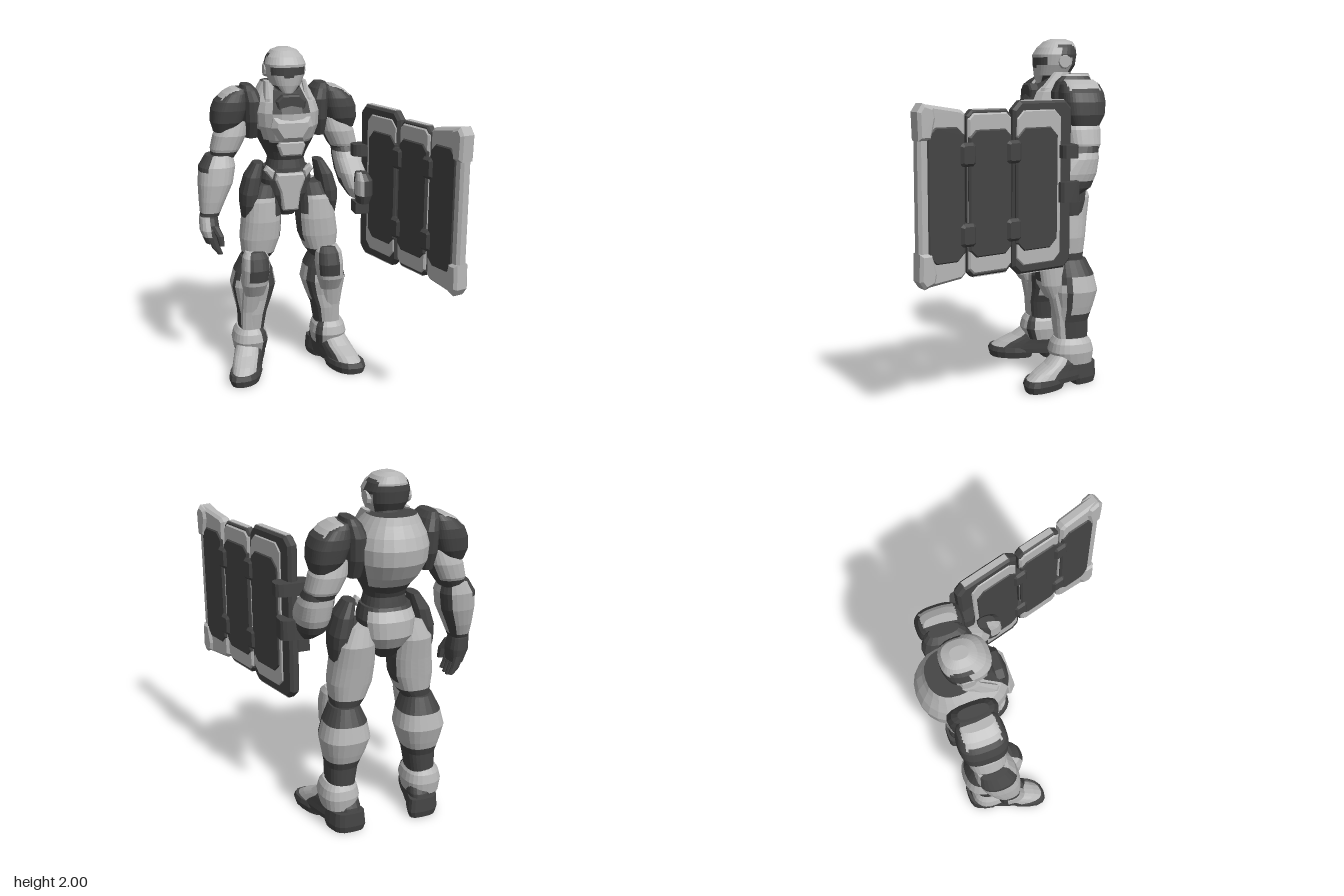
import * as THREE from 'three';

const light = new THREE.MeshStandardMaterial({ color: 0xb6b6b6 });
light.name = 'light grey armour';
const dark = new THREE.MeshStandardMaterial({ color: 0x444444 });
dark.name = 'dark grey armour';

// angle test in degrees: 0 = outer side, 90 = front, 180 = inner side, 270 = back
const near = (a, c, w) => Math.abs(((a - c + 540) % 360) - 180) < w;

function flat(geo) {
  const g = geo.index ? geo.toNonIndexed() : geo;
  g.computeVertexNormals();
  return g;
}

function add(parent, name, geo, mat) {
  const m = new THREE.Mesh(geo, mat);
  m.name = name;
  parent.add(m);
  return m;
}

// Faceted loft through sections [y, x, z, rx, rz] (rising y); pick(angle, y, x, z) gives each face its colour
function loft(parent, name, secs, pick, { s = 1, p = 0.8, n = 24, k = 4, shear = 0 } = {}) {
  const rings = [];
  for (let i = 0; i < secs.length - 1; i++)
    for (let j = 0; j < k; j++) rings.push(secs[i].map((v, c) => v + (secs[i + 1][c] - v) * j / k));
  rings.push(secs[secs.length - 1]);
  const pow = v => Math.sign(v) * Math.pow(Math.abs(v), p);
  const at = (r, j) => {
    const t = (j / n) * Math.PI * 2, z = r[4] * pow(Math.sin(t));
    return [s * (r[1] + r[3] * pow(Math.cos(t)) + shear * z), r[0], r[2] + z];
  };
  const lists = new Map([[light, []], [dark, []]]);
  const tri = (mat, a, b, c) => lists.get(mat).push(...a, ...(s > 0 ? b : c), ...(s > 0 ? c : b));
  const colour = (deg, a, b) => pick(deg, (a[1] + b[1]) / 2, s * (a[0] + b[0]) / 2, (a[2] + b[2]) / 2);
  const lo = rings[0], hi = rings[rings.length - 1];
  const loMid = [s * lo[1], lo[0], lo[2]], hiMid = [s * hi[1], hi[0], hi[2]];
  for (let j = 0; j < n; j++) {
    const deg = (j + 0.5) * 360 / n;
    for (let i = 0; i < rings.length - 1; i++) {
      const a = rings[i], b = rings[i + 1], m = colour(deg, at(a, j), at(b, j + 1));
      tri(m, at(a, j), at(b, j), at(a, j + 1));
      tri(m, at(a, j + 1), at(b, j), at(b, j + 1));
    }
    tri(colour(deg, hiMid, at(hi, j)), hiMid, at(hi, j + 1), at(hi, j));
    tri(colour(deg, loMid, at(lo, j)), loMid, at(lo, j), at(lo, j + 1));
  }
  const geo = new THREE.BufferGeometry(), pos = [], mats = [];
  for (const [mat, list] of lists) {
    if (!list.length) continue;
    geo.addGroup(pos.length / 3, list.length / 3, mats.length);
    mats.push(mat);
    for (const v of list) pos.push(v);
  }
  geo.setAttribute('position', new THREE.Float32BufferAttribute(pos, 3));
  geo.computeVertexNormals();
  if (mats.length === 1) geo.clearGroups();
  return add(parent, name, geo, mats.length === 1 ? mats[0] : mats);
}
const L = () => light, D = () => dark;

// Bevelled slab from an outline, centred on its thickness t
function slab(parent, name, mat, pts, t, bevel = 0.01) {
  const shape = new THREE.Shape(pts.map(q => new THREE.Vector2(...q)));
  const geo = new THREE.ExtrudeGeometry(shape, {
    depth: t - 2 * bevel, bevelThickness: bevel, bevelSize: bevel, bevelOffset: -bevel, bevelSegments: 1 });
  geo.translate(0, 0, -t / 2 + bevel);
  return add(parent, name, flat(geo), mat);
}
const chamfered = (x0, x1, y0, y1, c) => [[x0 + c, y0], [x1 - c, y0], [x1, y0 + c], [x1, y1 - c],
  [x1 - c, y1], [x0 + c, y1], [x0, y1 - c], [x0, y0 + c]];

function box(parent, name, mat, size, pos) {
  const m = add(parent, name, flat(new THREE.BoxGeometry(...size)), mat);
  m.position.set(...pos);
}

function buildTrunk(g) {
  // helmet: visor band, dark back and temples, light crown and jaw
  loft(g, 'helmet', [[1.745, 0, -0.315, 0.04, 0.06], [1.79, 0, -0.345, 0.085, 0.1], [1.85, 0, -0.36, 0.112, 0.12],
    [1.91, 0, -0.363, 0.12, 0.125], [1.95, 0, -0.375, 0.105, 0.112], [1.985, 0, -0.385, 0.075, 0.085], [2, 0, -0.385, 0.035, 0.045]],
  (a, y, x, z) => (near(a, 90, 60) && y > 1.835 + Math.abs(x) * 0.2 && y < 1.9) || (near(a, 270, 55) && y < 1.94) ||
    (y > 1.9 && y < 1.965 && Math.abs(x) > 0.08 && z < -0.36) || (near(a, 90, 75) && !near(a, 90, 40) && y < 1.79) ? dark : light, { n: 32 });
  for (const s of [1, -1]) {
    const ear = add(g, 'helmetEar', flat(new THREE.CylinderGeometry(0.036, 0.047, 0.03, 10)), light);
    ear.rotation.z = -s * Math.PI / 2;
    ear.position.set(s * 0.108, 1.872, -0.385);
  }
  loft(g, 'neck', [[1.62, 0, -0.38, 0.11, 0.12], [1.72, 0, -0.37, 0.1, 0.11], [1.82, 0, -0.37, 0.08, 0.085]], D);
  // chest with back hump
  loft(g, 'chest', [[1.36, 0, -0.37, 0.11, 0.1], [1.42, 0, -0.375, 0.14, 0.14], [1.48, 0, -0.385, 0.17, 0.195],
    [1.56, 0, -0.395, 0.2, 0.235], [1.64, 0, -0.4, 0.205, 0.238], [1.7, 0, -0.405, 0.19, 0.212],
    [1.76, 0, -0.43, 0.155, 0.155], [1.8, 0, -0.44, 0.13, 0.13]],
  (a, y) => {
    if (y > 1.795) return dark;
    if (near(a, 270, 58)) return y > 1.42 ? light : dark;
    if (near(a, 90, 34) && y > 1.63) return dark;
    if (y < 1.46) return dark;
    return y < 1.58 && !near(a, 90, 45 + (y - 1.46) * 300) ? dark : light;
  }, { p: 0.88 });
  for (const s of [1, -1])
    loft(g, 'collarGuard', [[1.62, 0.12, -0.27, 0.03, 0.06], [1.72, 0.118, -0.31, 0.025, 0.07], [1.81, 0.11, -0.37, 0.015, 0.05]], L, { s, n: 8 });
  slab(g, 'throatPlate', dark, [[-0.07, 1.61], [0.07, 1.61], [0.088, 1.71], [0.05, 1.745], [-0.05, 1.745], [-0.088, 1.71]], 0.06).position.z = -0.215;
  slab(g, 'chestPlate', light, [[-0.07, 1.475], [0.07, 1.475], [0.125, 1.56], [0.11, 1.62], [-0.11, 1.62], [-0.125, 1.56]], 0.07, 0.03).position.z = -0.185;
  slab(g, 'stomachPlate', light, [[-0.06, 1.39], [0.06, 1.39], [0.082, 1.45], [0.07, 1.475], [-0.07, 1.475], [-0.082, 1.45]], 0.06).position.z = -0.215;
  loft(g, 'waist', [[1.2, 0, -0.38, 0.14, 0.13], [1.3, 0, -0.37, 0.12, 0.11], [1.35, 0, -0.37, 0.108, 0.1], [1.42, 0, -0.37, 0.13, 0.13]], D);
  // pelvis and seat
  loft(g, 'pelvis', [[1.0, 0, -0.38, 0.05, 0.06], [1.07, 0, -0.385, 0.1, 0.11], [1.14, 0, -0.395, 0.145, 0.145],
    [1.23, 0, -0.39, 0.155, 0.145], [1.3, 0, -0.38, 0.135, 0.115]],
  (a, y) => near(a, 270, 62) && y > 1.07 && y < 1.29 ? light : dark);
  slab(g, 'groinPlate', light, [[-0.045, 1.05], [0.045, 1.05], [0.06, 1.16], [0.09, 1.24], [0.08, 1.275],
    [-0.08, 1.275], [-0.09, 1.24], [-0.06, 1.16]], 0.07).position.z = -0.26;
  for (const s of [1, -1])
    slab(g, 'beltPlate', light, [[0.1, 1.23], [0.15, 1.29], [0.13, 1.32], [0.085, 1.285]].map(q => [s * q[0], q[1]]), 0.05).position.z = -0.29;
}

function buildLeg(g, s) {
  loft(g, 'hipPad', [[1.0, 0.255, -0.365, 0.035, 0.07], [1.08, 0.247, -0.36, 0.052, 0.1], [1.15, 0.24, -0.36, 0.058, 0.108],
    [1.25, 0.218, -0.36, 0.05, 0.095], [1.33, 0.185, -0.36, 0.03, 0.06]], D, { s, n: 12 });
  loft(g, 'thigh', [[0.72, 0.215, -0.37, 0.075, 0.085], [0.78, 0.195, -0.36, 0.1, 0.105], [0.87, 0.182, -0.36, 0.122, 0.117],
    [0.98, 0.17, -0.365, 0.12, 0.127], [1.1, 0.165, -0.38, 0.11, 0.13], [1.2, 0.14, -0.38, 0.08, 0.1]],
  (a, y) => y < 0.78 || (near(a, 165, 50) && y > 1.0) || (near(a, 185, 30) && y > 0.82) || (y > 1.13 && !near(a, 270, 50)) ? dark : light, { s });
  loft(g, 'kneeGuard', [[0.52, 0.24, -0.28, 0.06, 0.05], [0.6, 0.238, -0.265, 0.08, 0.085],
    [0.7, 0.23, -0.255, 0.085, 0.09], [0.77, 0.228, -0.265, 0.078, 0.08], [0.8, 0.228, -0.275, 0.06, 0.05]],
  (a, y) => near(a, 108, 46) && y > 0.63 ? dark : light, { s });
  loft(g, 'lowerLeg', [[0.2, 0.25, -0.385, 0.08, 0.09], [0.28, 0.245, -0.385, 0.08, 0.098], [0.38, 0.238, -0.38, 0.09, 0.105],
    [0.47, 0.23, -0.395, 0.118, 0.12], [0.56, 0.225, -0.4, 0.14, 0.14], [0.65, 0.222, -0.395, 0.12, 0.125], [0.74, 0.22, -0.38, 0.08, 0.095]],
  (a, y) => near(a, 75, 38) && y < 0.6 ? light : y < 0.43 || y > 0.66 ? dark : near(a, 30, 12) || near(a, 130, 24) ? dark : light, { s });
  loft(g, 'shinPlate', [[0.22, 0.262, -0.32, 0.055, 0.03], [0.4, 0.26, -0.315, 0.055, 0.04], [0.56, 0.25, -0.285, 0.06, 0.045]], L, { s, n: 12 });
  loft(g, 'ankleCuff', [[0.13, 0.255, -0.39, 0.1, 0.115], [0.2, 0.255, -0.38, 0.112, 0.133], [0.25, 0.255, -0.38, 0.1, 0.12],
    [0.28, 0.255, -0.38, 0.08, 0.1]], (a, y) => near(a, 140, 14) ? dark : light, { s });
  // toed-out boot with split sole
  loft(g, 'boot', [[0.035, 0.283, -0.3, 0.09, 0.225], [0.065, 0.283, -0.305, 0.094, 0.23], [0.1, 0.275, -0.325, 0.092, 0.2],
    [0.14, 0.262, -0.36, 0.092, 0.155], [0.2, 0.25, -0.38, 0.08, 0.1]],
  (a, y) => near(a, 74, 56) && y > 0.062 ? light : dark, { s, shear: 0.3 });
  loft(g, 'toeSole', [[0, 0.317, -0.195, 0.09, 0.125], [0.04, 0.317, -0.195, 0.102, 0.135], [0.068, 0.317, -0.195, 0.096, 0.122]], D, { s, n: 16, k: 1, shear: 0.3 });
  loft(g, 'heelSole', [[0, 0.24, -0.455, 0.085, 0.075], [0.04, 0.24, -0.455, 0.095, 0.085], [0.12, 0.24, -0.455, 0.088, 0.08]], D, { s, n: 16, k: 1, p: 0.6, shear: 0.3 });
}

function buildUpperArm(g, s) {
  loft(g, 'shoulderRing', [[1.48, 0.205, -0.405, 0.04, 0.08], [1.58, 0.198, -0.405, 0.06, 0.125],
    [1.7, 0.2, -0.405, 0.062, 0.133], [1.76, 0.215, -0.405, 0.05, 0.11], [1.79, 0.225, -0.405, 0.03, 0.08]], D, { s, n: 16 });
  // pad with a light patch on its sloping top
  loft(g, 'shoulderPad', [[1.52, 0.365, -0.405, 0.06, 0.085], [1.58, 0.348, -0.405, 0.093, 0.118], [1.65, 0.332, -0.405, 0.103, 0.127],
    [1.7, 0.318, -0.405, 0.095, 0.124], [1.745, 0.295, -0.405, 0.07, 0.11], [1.77, 0.275, -0.405, 0.045, 0.085]],
  (a, y, x, z) => x > 0.272 && x < 0.385 && Math.abs(z + 0.405) < 0.092 && y > 1.68 ? light : dark, { s, n: 40, p: 0.7 });
  loft(g, 'upperArm', [[1.36, 0.38, -0.395, 0.065, 0.075], [1.42, 0.36, -0.4, 0.088, 0.1], [1.5, 0.33, -0.4, 0.098, 0.108], [1.58, 0.3, -0.4, 0.08, 0.09]],
    (a, y) => y < 1.4 || near(a, 190, 25) ? dark : light, { s });
}

function buildFreeForearm(g, s) {
  loft(g, 'forearm', [[1.03, 0.475, -0.335, 0.055, 0.065], [1.12, 0.455, -0.35, 0.078, 0.09], [1.22, 0.43, -0.365, 0.103, 0.108],
    [1.32, 0.415, -0.38, 0.108, 0.108], [1.385, 0.4, -0.39, 0.08, 0.085]],
  (a, y) => (near(a, 0, 60) && y > 1.29) || near(a, 215, 25) || y < 1.05 ? dark : light, { s });
  loft(g, 'hand', [[0.87, 0.47, -0.315, 0.04, 0.068], [0.95, 0.48, -0.32, 0.06, 0.075], [1.02, 0.483, -0.33, 0.055, 0.06], [1.06, 0.48, -0.33, 0.045, 0.05]],
    (a, y) => near(a, 30, 62) && y > 0.91 && y < 1.03 ? light : dark, { s, n: 16 });
  for (let i = 0; i < 4; i++) {
    const z = -0.37 + i * 0.036, low = 0.785 + Math.abs(i - 1.5) * 0.012;
    loft(g, 'finger', [[low, 0.425, z, 0.014, 0.014], [0.84, 0.45, z, 0.024, 0.018], [0.91, 0.472, z, 0.03, 0.019]], D, { s, n: 8, k: 1 });
  }
  loft(g, 'thumb', [[0.86, 0.42, -0.24, 0.016, 0.018], [0.92, 0.43, -0.245, 0.022, 0.022], [0.98, 0.46, -0.27, 0.026, 0.028]], D, { s, n: 8, k: 1 });
}

// bent forearm reaching forward to the shield grip
function buildShieldArm(g) {
  loft(g, 'shieldForearm', [[1.12, 0.405, -0.23, 0.045, 0.1], [1.18, 0.4, -0.28, 0.075, 0.15], [1.26, 0.395, -0.32, 0.092, 0.145],
    [1.34, 0.388, -0.37, 0.092, 0.108], [1.41, 0.375, -0.395, 0.08, 0.085]],
  (a, y) => y > 1.37 || near(a, 200, 25) || (y < 1.23 && !near(a, 110, 50)) ? dark : light);
  loft(g, 'shieldHand', [[1.1, 0.415, -0.13, 0.035, 0.06], [1.15, 0.418, -0.13, 0.05, 0.075], [1.24, 0.418, -0.13, 0.05, 0.07], [1.28, 0.41, -0.14, 0.035, 0.05]],
    (a, y) => near(a, 145, 45) && y > 1.16 ? light : dark, { n: 14 });
}

function buildShield() {
  const g = new THREE.Group();
  g.name = 'shield';
  const y0 = 0.75, y1 = 1.67;
  // rear panel: dark rim, light frame, dark core
  slab(g, 'rearPanelRim', dark, chamfered(0, 0.383, y0, y1, 0.045), 0.06, 0.015);
  slab(g, 'rearPanelFrame', light, chamfered(0.075, 0.37, 0.795, 1.625, 0.045), 0.072);
  slab(g, 'rearPanelCore', dark, chamfered(0.1, 0.372, 0.875, 1.535, 0.05), 0.084);
  // middle panel
  slab(g, 'middlePanelRim', dark, chamfered(0.394, 0.663, 0.775, 1.632, 0.03), 0.05);
  slab(g, 'middlePanelFrame', light, chamfered(0.397, 0.66, 0.79, 1.617, 0.03), 0.066);
  slab(g, 'middlePanelCore', dark, chamfered(0.398, 0.659, 0.875, 1.535, 0.04), 0.08);
  // light strips along the upper and lower edges
  for (const y of [y0, y1]) box(g, 'rearEdgeStrip', light, [0.28, 0.006, 0.034], [0.19, y, 0]);
  for (const y of [0.775, 1.632]) box(g, 'middleEdgeStrip', light, [0.2, 0.006, 0.034], [0.528, y, 0]);
  // front panel with corner guards
  slab(g, 'frontPanelFrame', light, [[0.675, 0.8], [0.7, 0.775], [0.92, y0], [0.945, 0.79], [0.945, 1.63],
    [0.92, 1.67], [0.7, 1.635], [0.675, 1.615]], 0.066, 0.015);
  slab(g, 'frontPanelCore', dark, chamfered(0.682, 0.9, 0.865, 1.555, 0.045), 0.08);
  for (const top of [1, -1]) {
    slab(g, 'cornerGuard', light, [[0.85, 0.39], [0.875, 0.28], [0.945, 0.28], [0.95, 0.42], [0.92, 0.462], [0.86, 0.44]]
      .map(q => [q[0], 1.21 + top * q[1]]), 0.095, 0.015);
  }
  // hinges joining the panels
  for (const u of [0.388, 0.668])
    for (const y of [1.0, 1.41])
      slab(g, 'hinge', dark, chamfered(u - 0.045, u + 0.045, y - 0.06, y + 0.06, 0.015), 0.11, 0.015);
  g.position.set(0.355, 0, -0.275);
  g.rotation.y = -Math.atan2(0.96, 0.28);
  return g;
}

export function createModel() {
  const model = new THREE.Group();
  model.name = 'armouredShieldBearer';
  const body = new THREE.Group();
  body.name = 'body';
  body.position.x = -0.115;
  const legs = new THREE.Group();
  legs.name = 'legs';
  legs.position.x = -0.102;
  model.add(body, legs);
  buildTrunk(body);
  for (const s of [1, -1]) {
    buildLeg(legs, s);
    buildUpperArm(body, s);
  }
  buildFreeForearm(body, -1);
  buildShieldArm(body);
  model.add(buildShield());
  // brackets holding the shield to the arm
  loft(model, 'upperBracket', [[1.36, 0.365, -0.25, 0.1, 0.055], [1.43, 0.365, -0.25, 0.1, 0.055]], D, { n: 16, k: 1, p: 0.6 });
  loft(model, 'middleBracket', [[1.12, 0.37, -0.255, 0.075, 0.065], [1.23, 0.37, -0.255, 0.075, 0.065]], D, { n: 16, k: 1, p: 0.6 });
  box(model, 'lowerBracket', dark, [0.12, 0.07, 0.1], [0.325, 1.055, -0.2]);
  return model;
}
